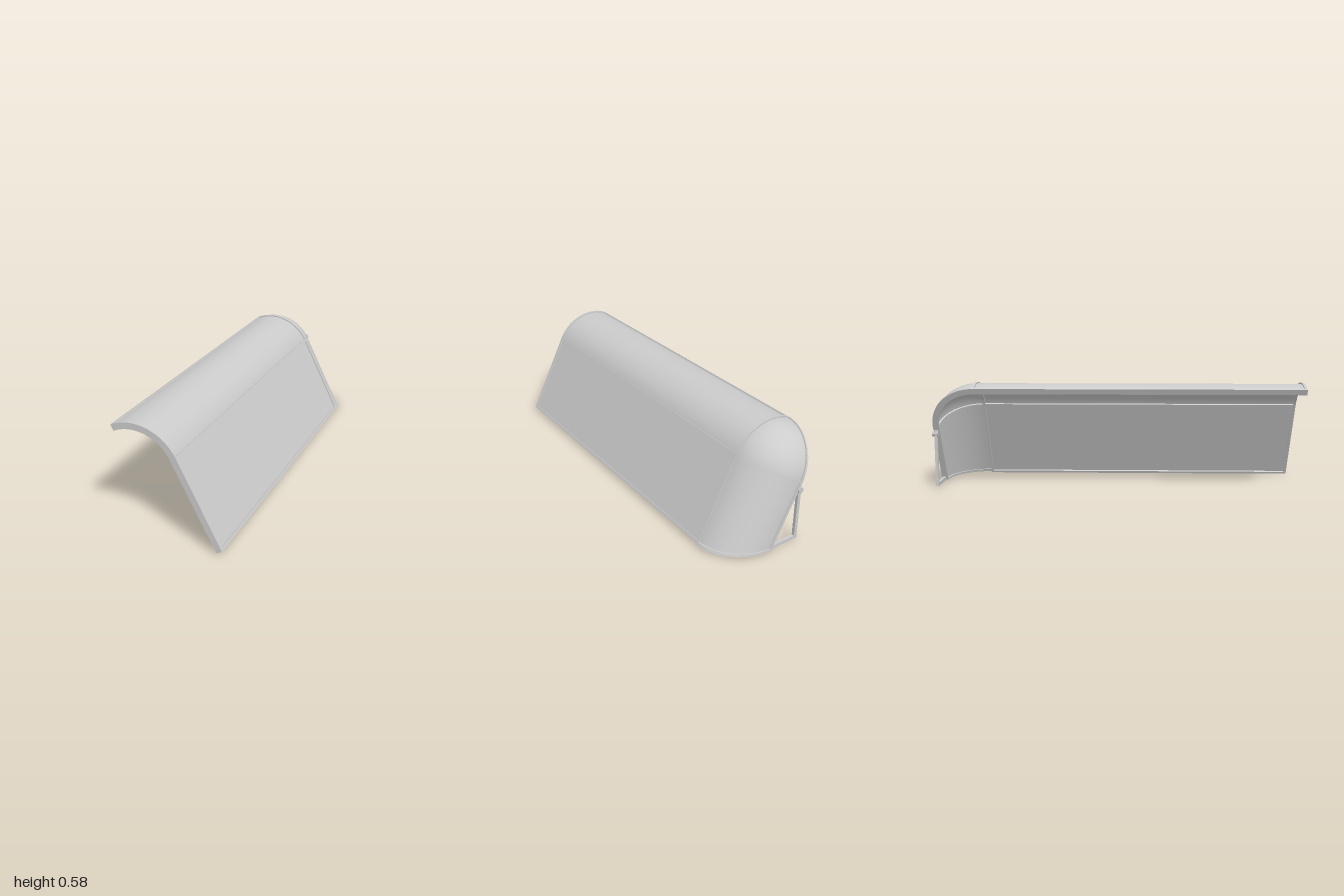
import * as THREE from 'three';
import { mergeGeometries } from 'three/addons/utils/BufferGeometryUtils.js';

const TILT = THREE.MathUtils.degToRad(26.8);
const LENGTH = 1.75; // straight run, ahead of the rounded end
const DROP = 0.486; // height of the flat panel along its slope
const SKIN = [0.222, 0.238]; // inner and outer radius of the shell
const RIM = [0.212, 0.245]; // inner and outer radius of rims and ribs
const HALF_PI = Math.PI / 2;
const material = new THREE.MeshStandardMaterial({ color: 0xcccccc });

// Smooth grid over two parameters, wound to face outward
function grid(point, nu, nv, flip) {
  const pos = [], index = [];
  for (let i = 0; i <= nu; i++)
    for (let j = 0; j <= nv; j++) pos.push(...point(i / nu, j / nv));
  for (let i = 0; i < nu; i++)
    for (let j = 0; j < nv; j++) {
      const a = i * (nv + 1) + j, b = a + nv + 1;
      if (flip) index.push(a, a + 1, b, b, a + 1, b + 1);
      else index.push(a, b, a + 1, b, b + 1, a + 1);
    }
  const geo = new THREE.BufferGeometry();
  geo.setAttribute('position', new THREE.Float32BufferAttribute(pos, 3));
  geo.setIndex(index);
  geo.computeVertexNormals();
  return geo;
}

// Solid slab: surface(a, b, r) over ranges of a, b and thickness r
function slab(surface, [a0, a1], [b0, b1], [r0, r1], na, nb) {
  const f = (u, v, w) => surface(a0 + (a1 - a0) * u, b0 + (b1 - b0) * v, r0 + (r1 - r0) * w);
  const vec = (u, v, w) => new THREE.Vector3(...f(u, v, w));
  const mid = vec(0.5, 0.5, 0.5);
  const du = vec(0.51, 0.5, 0.5).sub(mid), dv = vec(0.5, 0.51, 0.5).sub(mid), dw = vec(0.5, 0.5, 0.51).sub(mid);
  const m = du.cross(dv).dot(dw) < 0; // mirrored parameters
  return mergeGeometries([
    grid((u, v) => f(u, v, 1), na, nb, m),
    grid((u, v) => f(u, v, 0), na, nb, !m),
    grid((v, w) => f(1, v, w), nb, 1, m),
    grid((v, w) => f(0, v, w), nb, 1, !m),
    grid((u, w) => f(u, 1, w), na, 1, !m),
    grid((u, w) => f(u, 0, w), na, 1, m),
  ]);
}

// Surfaces in the tilted frame, origin at the centre of the rounded end
const roof = (a, z, r) => [r * Math.cos(a), r * Math.sin(a), z];
const panel = (s, z, r) => [r, -s, z];
const dome = (a, p, r) => [r * Math.cos(a) * Math.cos(p), r * Math.sin(a), -r * Math.cos(a) * Math.sin(p)];
// k runs 0 to 1 down to a foot cut level with the ground
const corner = (k, p, r) => {
  const foot = (0.33 + Math.sin(TILT) * r * Math.cos(p)) / Math.cos(TILT);
  return [r * Math.cos(p), -k * foot, -r * Math.sin(p)];
};

export function createModel() {
  const model = new THREE.Group();
  const shelter = new THREE.Group();
  shelter.name = 'tiltedShell';
  shelter.position.set(-0.166, 0.34, -0.75);
  shelter.rotation.z = TILT;
  model.add(shelter);

  const add = (name, geometry, parent = shelter) => {
    const mesh = new THREE.Mesh(geometry, material);
    mesh.name = name;
    parent.add(mesh);
    return mesh;
  };
  const arc = [0, HALF_PI], run = [0, LENGTH], edge = [HALF_PI - 0.055, HALF_PI];

  // Skins
  add('curvedRoof', slab(roof, arc, run, SKIN, 32, 1));
  add('flatPanel', slab(panel, [0, DROP], run, SKIN, 1, 1));
  add('roundedEndWall', slab(corner, [0, 1], arc, SKIN, 1, 32));
  add('endDome', slab(dome, arc, arc, SKIN, 32, 32));

  // Cross ribs at the front opening and at the start of the rounded end
  for (const [name, z] of [['front', LENGTH - 0.014], ['rear', -0.007]]) {
    add(name + 'RoofRib', slab(roof, arc, [z, z + 0.014], RIM, 32, 1));
    add(name + 'PanelRib', slab(panel, [0, DROP], [z, z + 0.014], RIM, 1, 1));
  }

  // Seams between upper and lower skins
  add('panelSeam', slab(panel, [-0.007, 0.007], run, RIM, 1, 1));
  add('endSeam', slab(dome, [-0.028, 0.028], arc, RIM, 1, 32));

  // Free edges
  add('roofEdge', slab(roof, edge, run, RIM, 2, 1));
  add('domeEdge', slab(dome, arc, edge, RIM, 32, 2));
  add('endWallEdge', slab(corner, [0, 1], edge, RIM, 1, 2));
  add('panelFoot', slab(panel, [DROP - 0.014, DROP], run, RIM, 1, 1));
  add('endWallFoot', slab(corner, [0.968, 1], arc, RIM, 1, 32));

  // Prop behind the leaning end
  const stand = new THREE.Group();
  stand.name = 'stand';
  model.add(stand);
  const bar = (name, w, h, x, y) =>
    add(name, new THREE.BoxGeometry(w, h, 0.016), stand).position.set(x, y, -0.98);
  bar('uprightBar', 0.018, 0.31, -0.161, 0.166);
  bar('groundBar', 0.17, 0.018, -0.085, 0.02);
  const knob = add('pivotKnob', new THREE.CylinderGeometry(0.016, 0.016, 0.032, 24), stand);
  knob.rotation.x = HALF_PI;
  knob.position.set(-0.157, 0.302, -0.984);

  return model;
}
